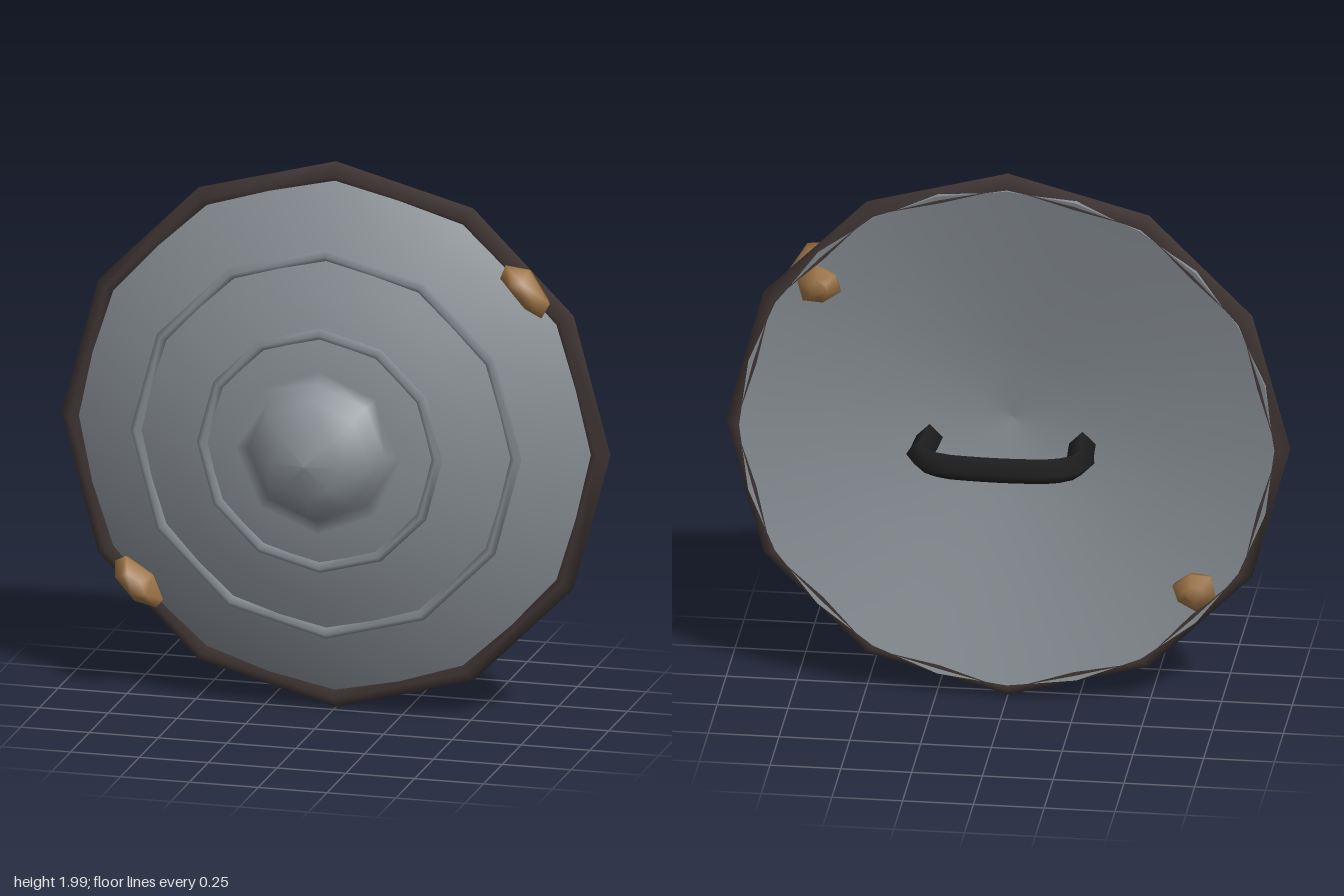
import * as THREE from 'three';
import { ConvexGeometry } from 'three/addons/geometries/ConvexGeometry.js';
import { mergeVertices } from 'three/addons/utils/BufferGeometryUtils.js';

const mat = (name, color, side = THREE.FrontSide) => {
  const m = new THREE.MeshStandardMaterial({ color, side });
  m.name = name;
  return m;
};

export function createModel() {
  const steel = mat('steel', 0x878d93);
  const darkIron = mat('darkIron', 0x403635);
  const leather = mat('blackLeather', 0x1f1f1f, THREE.DoubleSide);
  const bronze = mat('bronze', 0x9a7144);

  const shield = new THREE.Group();
  shield.name = 'shield';
  // everything is laid out around the shield's centre, one unit above the floor
  const add = (name, geometry, material) => {
    const mesh = new THREE.Mesh(geometry, material);
    mesh.name = name;
    mesh.position.y = 1;
    shield.add(mesh);
    return mesh;
  };

  // surface of revolution about z, from [radius, z] pairs listed back to front
  const turned = (points, segments) =>
    new THREE.LatheGeometry(points.map(([r, z]) => new THREE.Vector2(r, z)), segments)
      .rotateX(Math.PI / 2);

  // dish: hollow back, thin edge and gently curved face
  add('dishBack', turned([[0, 0.118], [0.15, 0.1], [0.3, 0.076], [0.6, 0.012],
    [0.945, -0.074]], 24), steel);
  add('dishEdge', turned([[0.945, -0.074], [0.945, -0.027]], 24), steel);
  add('dishFace', turned([[0.945, -0.027], [0.9, -0.003], [0.8, 0.045], [0.68, 0.094],
    [0.55, 0.142], [0.43, 0.178], [0.3, 0.206], [0.15, 0.22], [0, 0.225]], 24), steel);

  // twelve-sided hoops: the rim and two raised rings
  const hoop = (name, radius, tube, z, material) =>
    add(name, new THREE.TorusGeometry(radius, tube, 4, 12).translate(0, 0, z), material);
  hoop('rim', 0.956, 0.041, -0.034, darkIron);
  hoop('outerRing', 0.69, 0.02, 0.098, steel);
  hoop('innerRing', 0.426, 0.02, 0.182, steel);

  // boss: low eight-sided dome flaring into a thin brim
  const dome = [[0.3, 0.211]];
  for (let i = 0; i <= 3; i++) {
    const a = (i / 3) * Math.PI / 2;
    dome.push([0.25 * Math.cos(a), 0.217 + 0.179 * Math.sin(a)]);
  }
  add('boss', turned(dome, 8), steel);

  // grip behind the dish
  const half = [[0.27, -0.088], [0.276, -0.19], [0.282, -0.272], [0.208, -0.334], [0.1, -0.351]];
  const path = [...half, ...half.map(([x, z]) => [-x, z]).reverse()]
    .map(([x, z]) => new THREE.Vector3(x, 0, z));
  add('grip', new THREE.TubeGeometry(new THREE.CatmullRomCurve3(path), 18, 0.047, 4), leather);
  // flat ends of the grip
  for (const s of [1, -1]) {
    const end = add('gripEnd', new THREE.CircleGeometry(0.047, 4), leather);
    end.position.set(s * 0.27, 1, -0.088);
  }

  // clasp: rounded lump made of scaled copies of an outline, given as [scale, z] layers
  const clasp = (name, outline, layers) => {
    const n = outline.length;
    const cx = outline.reduce((t, p) => t + p[0], 0) / n;
    const cy = outline.reduce((t, p) => t + p[1], 0) / n;
    const pts = [];
    for (const [s, z] of layers) {
      for (const [x, y] of outline) {
        pts.push(new THREE.Vector3(cx + (x - cx) * s, cy + (y - cy) * s, z));
      }
    }
    const geometry = new ConvexGeometry(pts);
    geometry.deleteAttribute('normal');
    const smooth = mergeVertices(geometry, 1e-4);
    smooth.computeVertexNormals();
    return add(name, smooth, bronze);
  };
  const frontLayers = [[0.85, -0.02], [1, 0.016], [0.5, 0.072]];
  clasp('leftFrontClasp', [[0.61, 0.63], [0.63, 0.68], [0.715, 0.67], [0.79, 0.55],
    [0.76, 0.495], [0.7, 0.525]], frontLayers);
  clasp('rightFrontClasp', [[-0.79, -0.51], [-0.75, -0.49], [-0.65, -0.55], [-0.615, -0.64],
    [-0.64, -0.67], [-0.72, -0.65], [-0.79, -0.57]], frontLayers);
  const backLayers = [[0.9, -0.04], [1, -0.075], [0.45, -0.107]];
  const backOutline = [[0.585, 0.53], [0.605, 0.59], [0.67, 0.625], [0.74, 0.565],
    [0.72, 0.49], [0.65, 0.485]];
  clasp('leftBackClasp', backOutline, backLayers);
  clasp('rightBackClasp', backOutline.map(([x, y]) => [-x, -y]), backLayers);

  return shield;
}
